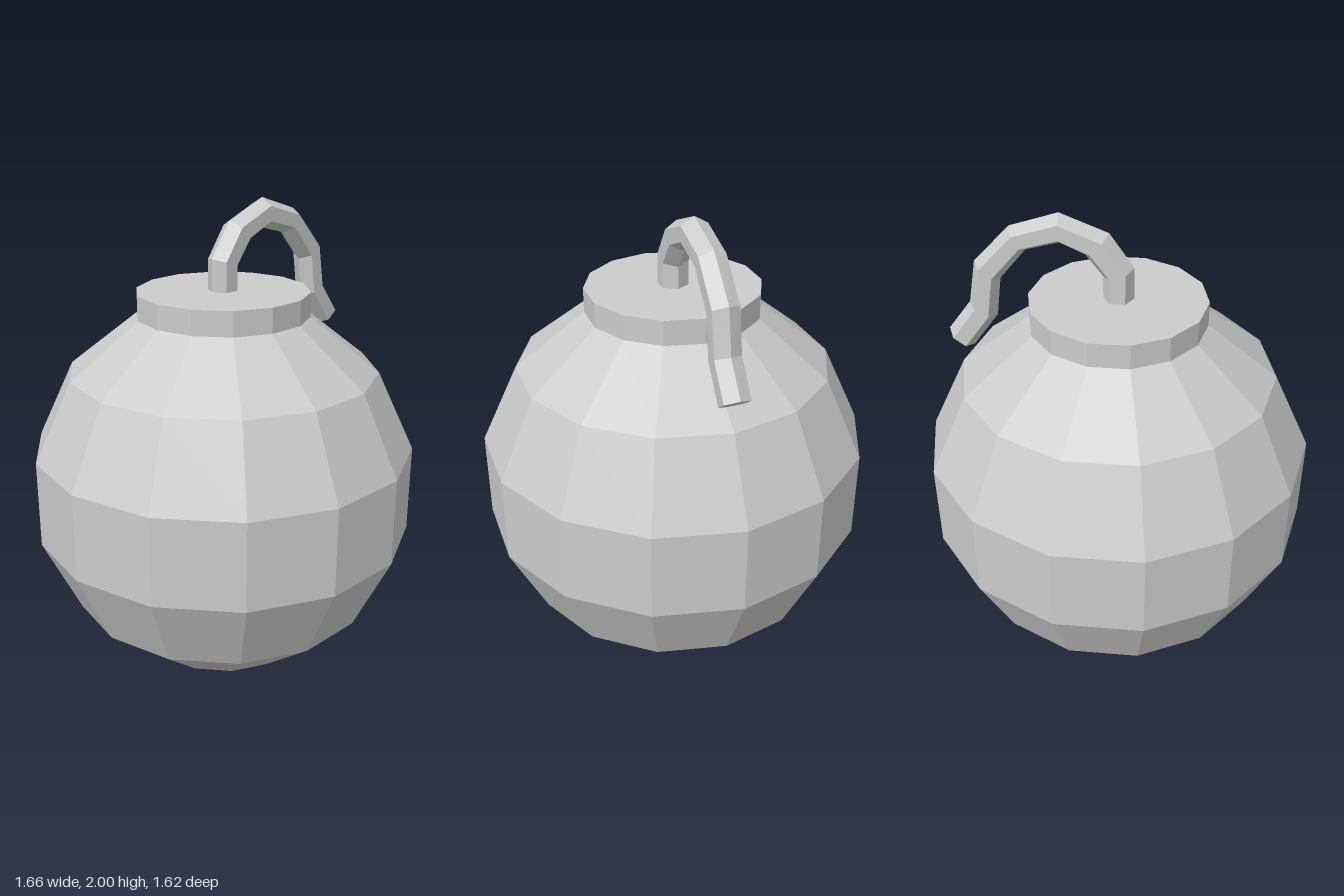
import * as THREE from 'three';

const SIDES = 14;

export function createModel() {
  const group = new THREE.Group();
  const material = new THREE.MeshStandardMaterial({ color: 0xcccccc, flatShading: true });

  const add = (name, geometry) => {
    const mesh = new THREE.Mesh(geometry, material);
    mesh.name = name;
    group.add(mesh);
  };

  // Faceted round body with a flat base
  const profile = [[0, 0], [0.37, 0], [0.668, 0.24], [0.83, 0.58], [0.83, 0.96], [0.668, 1.3], [0.37, 1.535]]
    .map(([r, y]) => new THREE.Vector2(r, y));
  add('body', new THREE.LatheGeometry(profile, SIDES, Math.PI / 2));

  // Short collar closing the top
  const collar = new THREE.CylinderGeometry(0.37, 0.37, 0.105, SIDES, 1, false, Math.PI / 2);
  collar.translate(0, 1.5875, 0);
  add('collar', collar);

  add('fuse', fuseGeometry());
  return group;
}

// Bent hexagonal fuse: each section is given by its outer and inner corner (x, y)
function fuseGeometry() {
  const sections = [
    [-0.065, 1.63, 0.061, 1.63],
    [-0.065, 1.777, 0.061, 1.735],
    [0.035, 1.922, 0.13, 1.825],
    [0.232, 2.0, 0.232, 1.873],
    [0.431, 1.936, 0.37, 1.836],
    [0.582, 1.777, 0.479, 1.705],
    [0.615, 1.59, 0.502, 1.535],
    [0.713, 1.459, 0.612, 1.385],
  ];
  const positions = [];
  const index = [];
  for (const [ox, oy, ix, iy] of sections) {
    for (let k = 0; k < 6; k++) {
      const a = (k * Math.PI) / 3;
      const c = Math.cos(a) / 2;
      positions.push(
        (ox + ix) / 2 + (ox - ix) * c,
        (oy + iy) / 2 + (oy - iy) * c,
        0.064 * Math.sin(a),
      );
    }
  }
  const last = (sections.length - 1) * 6;
  for (let i = 0; i < last; i += 6) {
    for (let k = 0; k < 6; k++) {
      const a = i + k, b = i + ((k + 1) % 6);
      index.push(a, b, b + 6, a, b + 6, a + 6);
    }
  }
  // End caps
  for (let k = 1; k < 5; k++) {
    index.push(0, k + 1, k, last, last + k, last + k + 1);
  }
  const geometry = new THREE.BufferGeometry();
  geometry.setAttribute('position', new THREE.Float32BufferAttribute(positions, 3));
  geometry.setIndex(index);
  geometry.computeVertexNormals();
  return geometry;
}
